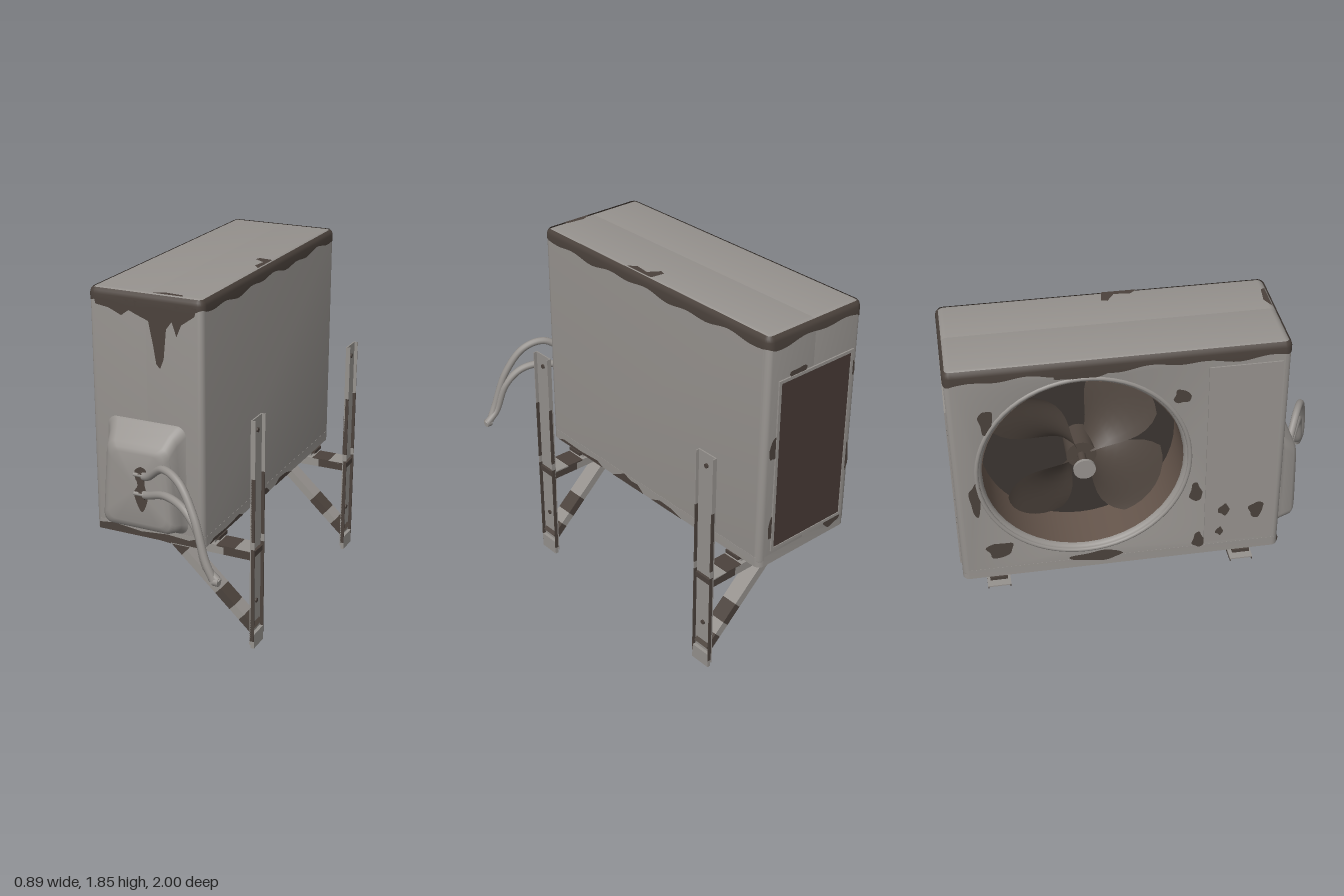
import * as THREE from 'three';
import { toCreasedNormals } from 'three/addons/utils/BufferGeometryUtils.js';

const mat = (name, color, side = THREE.FrontSide) => {
  const m = new THREE.MeshStandardMaterial({ color, side });
  m.name = name;
  return m;
};
const V = (x, y, z) => new THREE.Vector3(x, y, z);

// Counter-clockwise rounded rectangle
function roundedPts(x0, x1, y0, y1, r, n = 6) {
  const pts = [];
  [[x1 - r, y1 - r], [x0 + r, y1 - r], [x0 + r, y0 + r], [x1 - r, y0 + r]].forEach(([cx, cy], q) => {
    for (let i = 0; i <= n; i++) {
      const a = (q + i / n) * Math.PI / 2;
      pts.push(new THREE.Vector2(cx + r * Math.cos(a), cy + r * Math.sin(a)));
    }
  });
  return pts;
}

// Surface through rows of points
function grid(rows, closed = false) {
  const n = rows[0].length, idx = [];
  for (let k = 0; k < rows.length - 1; k++)
    for (let i = 0; i < (closed ? n : n - 1); i++) {
      const j = (i + 1) % n, a = k * n + i, b = k * n + j;
      idx.push(a, b, b + n, a, b + n, a + n);
    }
  const g = new THREE.BufferGeometry().setFromPoints(rows.flat());
  g.setIndex(idx);
  g.computeVertexNormals();
  return g;
}

export function createModel() {
  const root = new THREE.Group();
  root.name = 'wallUnit';
  const grey = mat('paintedGrey', 0x96928e, THREE.DoubleSide);
  const rust = mat('rust', 0x4b423c, THREE.DoubleSide);
  const coil = mat('coilBrown', 0x473a36);
  const liner = mat('ductBrown', 0x66564c, THREE.DoubleSide);
  const blade = mat('bladeBrown', 0x50463f, THREE.DoubleSide);
  const dark = mat('darkInterior', 0x3b3531);

  const add = (name, geo, m, parent = root) => {
    const mesh = new THREE.Mesh(geo, m);
    mesh.name = name;
    parent.add(mesh);
    return mesh;
  };
  const box = (name, x0, x1, y0, y1, z0, z1, m, parent) =>
    add(name, new THREE.BoxGeometry(x1 - x0, y1 - y0, z1 - z0)
      .translate((x0 + x1) / 2, (y0 + y1) / 2, (z0 + z1) / 2), m, parent);

  // Casing: two bevelled shells, the outer one with the fan opening
  const FY = 1.225, FZ = -0.36, B = 0.03;
  function shell(name, x0, x1, hole) {
    const s = new THREE.Shape(roundedPts(-0.65 + B, 1 - B, 0.585 + B, 1.85 - B, 0.01));
    if (hole) s.holes.push(new THREE.Path().absarc(-FZ, FY, 0.53, 0, Math.PI * 2, true));
    const g = new THREE.ExtrudeGeometry(s, {
      depth: x1 - x0 - 2 * B, bevelSize: B, bevelThickness: B, bevelSegments: 4, curveSegments: 48 });
    g.rotateY(Math.PI / 2).translate(x0 + B, 0, 0);
    add(name, toCreasedNormals(g, 0.6), grey);
  }
  shell('fanSideCasing', -0.41, -0.07, true);
  shell('wallSideCasing', -0.13, 0.2, false);
  const tray = new THREE.ExtrudeGeometry(
    new THREE.Shape(roundedPts(-0.411, 0.201, -1, 0.651, 0.035)), { depth: 0.055, bevelEnabled: false });
  add('baseTray', toCreasedNormals(tray.rotateX(Math.PI / 2).translate(0, 0.64, 0), 0.6), grey);

  // Fan duct, back plate and rim
  const fan = new THREE.Group();
  fan.name = 'fan';
  fan.position.set(0, FY, FZ);
  root.add(fan);
  const disc = (name, r, x0, x1, m, open = false) =>
    add(name, new THREE.CylinderGeometry(r, r, x1 - x0, 48, 1, open)
      .rotateZ(Math.PI / 2).translate((x0 + x1) / 2, 0, 0), m, fan);
  disc('fanDuct', 0.498, -0.385, -0.12, liner, true);
  disc('ductBack', 0.498, -0.14, -0.133, dark);
  add('fanRim', new THREE.TorusGeometry(0.528, 0.012, 8, 64).rotateY(Math.PI / 2).translate(-0.406, 0, 0), grey, fan);
  disc('fanHub', 0.075, -0.3, -0.14, blade);
  disc('fanShaft', 0.02, -0.41, -0.29, blade);
  disc('hubCap', 0.055, -0.422, -0.405, grey);
  for (let b = 0; b < 4; b++) {
    const rows = [];
    for (let k = 0; k <= 8; k++) {
      const t = k / 8, r = 0.05 + 0.43 * t, half = 0.25 + 0.32 * Math.sin(Math.PI * (0.1 + 0.72 * t));
      rows.push(Array.from({ length: 9 }, (_, i) => {
        const s = i / 4 - 1, a = Math.PI / 4 + b * Math.PI / 2 + s * half + 0.15 * t;
        const rr = r * (1 - 0.1 * t * s * s);
        return V(-0.24 + 0.07 * s, rr * Math.sin(a), rr * Math.cos(a));
      }));
    }
    add('fanBlade', grid(rows), blade, fan);
  }

  // Service panel beside the fan, and coil panel on the end
  box('servicePanel', -0.417, -0.4, 0.66, 1.75, 0.25, 0.61, grey);
  box('coilPanel', -0.36, 0.12, 0.67, 1.6, -1.004, -0.99, coil);
  for (const x of [-0.36, 0.12]) box('coilFrameSide', x - 0.008, x + 0.008, 0.662, 1.608, -1.008, -0.99, grey);
  for (const y of [0.67, 1.6]) box('coilFrameRail', -0.36, 0.12, y - 0.008, y + 0.008, -1.008, -0.99, grey);

  // Valve cover: tapered rounded sections
  const cover = [[0.64, -0.34, 0.12, 0.63, 1.23], [0.656, -0.325, 0.11, 0.65, 1.2], [0.69, -0.318, 0.1, 0.662, 1.17],
    [0.74, -0.31, 0.09, 0.675, 1.12], [0.758, -0.295, 0.075, 0.69, 1.1], [0.766, -0.275, 0.055, 0.715, 1.08]]
    .map(([z, x0, x1, y0, y1], k) => roundedPts(x0, x1, y0, y1, 0.05).map(p => {
      const f = 1 - 0.05 * k * Math.max(0, (p.y - 0.7) / 0.4);
      return V(-0.11 + (p.x + 0.11) * f, p.y, z);
    }));
  cover.push(cover[5].map(() => V(-0.11, 0.9, 0.766)));
  add('valveCover', toCreasedNormals(grid(cover, true), 0.7), grey);

  // Pipes with fittings
  const pipes = [
    [[-0.08, 0.97, 0.765], [-0.03, 0.985, 0.79], [0.09, 1.07, 0.855], [0.2, 1.04, 0.905], [0.3, 0.9, 0.95], [0.37, 0.7, 0.975], [0.41, 0.615, 0.975]],
    [[-0.08, 0.87, 0.765], [-0.03, 0.885, 0.785], [0.1, 0.932, 0.85], [0.22, 0.915, 0.905], [0.31, 0.83, 0.94], [0.37, 0.67, 0.965], [0.435, 0.61, 0.97]]];
  for (const p of pipes) {
    const curve = new THREE.CatmullRomCurve3(p.map(q => V(...q)));
    add('pipe', new THREE.TubeGeometry(curve, 48, 0.02, 12), grey);
    const [x, y, z] = p[0];
    add('pipeNut', new THREE.CylinderGeometry(0.026, 0.026, 0.03, 6).rotateX(Math.PI / 2).translate(x + 0.005, y, z + 0.012), rust);
    add('valveStem', new THREE.CylinderGeometry(0.01, 0.01, 0.06, 8).rotateZ(Math.PI / 2).translate(x, y + 0.012, z + 0.02), grey);
  }
  add('pipeEnd', new THREE.CylinderGeometry(0.023, 0.023, 0.03, 12).rotateZ(Math.PI / 2).translate(0.425, 0.61, 0.972), grey);

  // Rust along the top edge with a ragged lower border
  const ring = [];
  const outline = roundedPts(-0.41, 0.2, -1, 0.65, 0.035);
  outline.forEach((p, i) => {
    const q = outline[(i + 1) % outline.length], n = Math.max(1, Math.round(p.distanceTo(q) / 0.025));
    for (let k = 0; k < n; k++) ring.push(p.clone().lerp(q, k / n));
  });
  const band = [[0.004, 0], [0.004, 1.82], [-0.001, 1.836], [-0.012, 1.848]].map(([off, y]) => ring.map((p, i) => {
    const c = new THREE.Vector2(THREE.MathUtils.clamp(p.x, -0.375, 0.165), THREE.MathUtils.clamp(p.y, -0.965, 0.615));
    const d = p.clone().sub(c).normalize();
    return V(p.x + d.x * off, y || 1.785 + 0.008 * Math.sin(i * 0.55) + 0.007 * Math.sin(i * 0.23 + 1), p.y + d.y * off);
  }));
  add('topEdgeRust', grid(band, true), rust);

  // Rust patches: outlines in the plane of a face
  const faces = {
    front: (u, v) => V(u, v, 0.654), back: (u, v) => V(u, v, -1.004), fanSide: (u, v) => V(-0.414, v, u),
    wallSide: (u, v) => V(0.205, v, u), top: (u, v) => V(u, 1.853, v), cover: (u, v) => V(u, v, 0.769),
    panel: (u, v) => V(-0.42, v, u),
  };
  function patch(face, pts, smooth = true) {
    const v2 = pts.map(p => new THREE.Vector2(...p));
    const s = smooth ? new THREE.Shape().moveTo(...pts[0]).splineThru([...v2.slice(1), v2[0]]) : new THREE.Shape(v2);
    const g = new THREE.ShapeGeometry(s, 6), pos = g.attributes.position;
    for (let i = 0; i < pos.count; i++) {
      const w = faces[face](pos.getX(i), pos.getY(i));
      pos.setXYZ(i, w.x, w.y, w.z);
    }
    g.computeVertexNormals();
    add(face + 'Rust', g, rust);
  }
  const blob = (face, u, v, a, b) => patch(face, Array.from({ length: 9 }, (_, i) => {
    const t = i / 9 * Math.PI * 2, r = 1 + 0.2 * Math.sin(i * 2.4 + u * 9);
    return [u + a * r * Math.cos(t), v + b * r * Math.sin(t)];
  }));
  patch('front', [[-0.38, 1.81], [-0.37, 1.77], [-0.3, 1.76], [-0.23, 1.73], [-0.19, 1.76], [-0.14, 1.74], [-0.085, 1.72],
    [-0.06, 1.6], [-0.045, 1.51], [-0.025, 1.49], [-0.005, 1.54], [0.01, 1.69], [0.04, 1.73], [0.065, 1.66], [0.09, 1.72],
    [0.16, 1.77], [0.17, 1.81]], false);
  patch('front', [[-0.39, 0.585], [0.18, 0.585], [0.18, 0.64], [0.12, 0.615], [0, 0.625], [-0.15, 0.612], [-0.3, 0.63], [-0.39, 0.62]], false);
  patch('cover', [[-0.08, 1.02], [-0.115, 0.99], [-0.1, 0.92], [-0.12, 0.87], [-0.08, 0.78], [-0.045, 0.85], [-0.06, 0.93], [-0.05, 1]]);
  blob('front', 0.07, 1.155, 0.025, 0.03);
  patch('wallSide', [[0.12, 0.587], [0.07, 0.61], [0.02, 0.64], [-0.04, 0.62], [-0.09, 0.625], [-0.14, 0.587]], false);
  patch('wallSide', [[-0.2, 0.587], [-0.27, 0.615], [-0.36, 0.61], [-0.44, 0.587]], false);
  patch('wallSide', [[0.6, 0.587], [0.55, 0.605], [0.4, 0.6], [0.25, 0.61], [0.2, 0.587]], false);
  patch('top', [[0.185, 0], [0.15, -0.04], [0.16, -0.12], [0.1, -0.16], [0.11, -0.19], [0.185, -0.18]], false);
  patch('top', [[-0.08, 0.63], [-0.02, 0.6], [0.08, 0.61], [0.09, 0.63]], false);
  [[-0.365, 1.5, 0.02, 0.06], [-0.37, 1.0, 0.02, 0.1], [-0.3, 0.65, 0.06, 0.03], [0.14, 1.25, 0.025, 0.06],
    [0.13, 0.8, 0.02, 0.07], [0, 1.62, 0.06, 0.018]].forEach(b => blob('back', ...b));
  [[-0.82, 1.56, 0.035, 0.07], [-0.9, 1.1, 0.03, 0.1], [-0.8, 0.76, 0.07, 0.05], [-0.3, 0.65, 0.14, 0.03],
    [0.2, 1.0, 0.03, 0.06], [0.12, 1.6, 0.04, 0.04], [-0.36, 1.775, 0.12, 0.02], [0.22, 0.68, 0.03, 0.05]].forEach(b => blob('fanSide', ...b));
  [[0.35, 0.87, 0.03, 0.035], [0.52, 0.85, 0.04, 0.05], [0.33, 0.73, 0.02, 0.025]].forEach(b => blob('panel', ...b));

  // Wall brackets: channel post, tapered arm, diagonal brace and feet
  for (const z of [0.45, -0.82]) {
    const g = new THREE.Group();
    g.name = 'wallBracket';
    g.position.z = z;
    root.add(g);
    box('postWeb', 0.385, 0.392, 0.02, 1.245, -0.06, 0.06, grey, g);
    box('postFoot', 0.392, 0.41, 0, 0.08, -0.058, 0.058, grey, g);
    box('armEnd', 0.385, 0.406, 0.515, 0.545, -0.048, 0.048, rust, g);
    for (const y of [0.25, 1.18]) add('boltHead', new THREE.CylinderGeometry(0.012, 0.012, 0.008, 10).rotateZ(Math.PI / 2).translate(0.396, y, 0), rust, g);
    for (const s of [-1, 1]) {
      const c = s * 0.0575;
      [[0.04, 0.56, rust], [0.56, 0.6, grey], [0.6, 0.94, rust], [0.94, 1.245, grey]].forEach(([a, b, m]) =>
        box('postFlange', 0.385, 0.41, a, b, c - 0.0025, c + 0.0025, m, g));
      // Arm side walls, deeper toward the post
      [[-0.44, -0.06, rust], [-0.06, 0.1, grey], [0.1, 0.24, grey], [0.24, 0.386, rust]].forEach(([a, b, m]) => {
        const low = x => 0.53 - 0.03 * Math.min(1, (x + 0.44) / 0.38);
        const sh = new THREE.Shape([[a, low(a)], [b, low(b)], [b, 0.545], [a, 0.545]].map(p => new THREE.Vector2(...p)));
        add('armFlange', new THREE.ExtrudeGeometry(sh, { depth: 0.005, bevelEnabled: false }).translate(0, 0, c - 0.0025), m, g);
      });
    }
    box('armTopRust', 0.2, 0.3, 0.54, 0.548, -0.06, 0.06, rust, g);
    box('armTop', -0.44, 0.2, 0.54, 0.547, -0.06, 0.06, grey, g);
    box('armTopEnd', 0.3, 0.386, 0.54, 0.547, -0.06, 0.06, grey, g);
    const brace = new THREE.Group();
    brace.name = 'brace';
    brace.position.set(-0.05, 0.51, 0);
    brace.rotation.z = Math.atan2(-0.41, 0.445);
    g.add(brace);
    [[0, 0.08, rust], [0.08, 0.34, grey], [0.34, 0.45, rust], [0.45, 0.52, grey], [0.52, 0.605, rust]].forEach(([a, b, m]) =>
      box('braceBar', a, b, -0.022, 0.022, -0.045, 0.045, m, brace));
    // Rail and rubber feet under the casing
    box('footRail', -0.42, 0.21, 0.567, 0.585, -0.045, 0.045, rust, g);
    for (const x of [-0.34, 0.155]) box('rubberFoot', x - 0.027, x + 0.027, 0.545, 0.568, -0.04, 0.04, grey, g);
  }
  return root;
}
